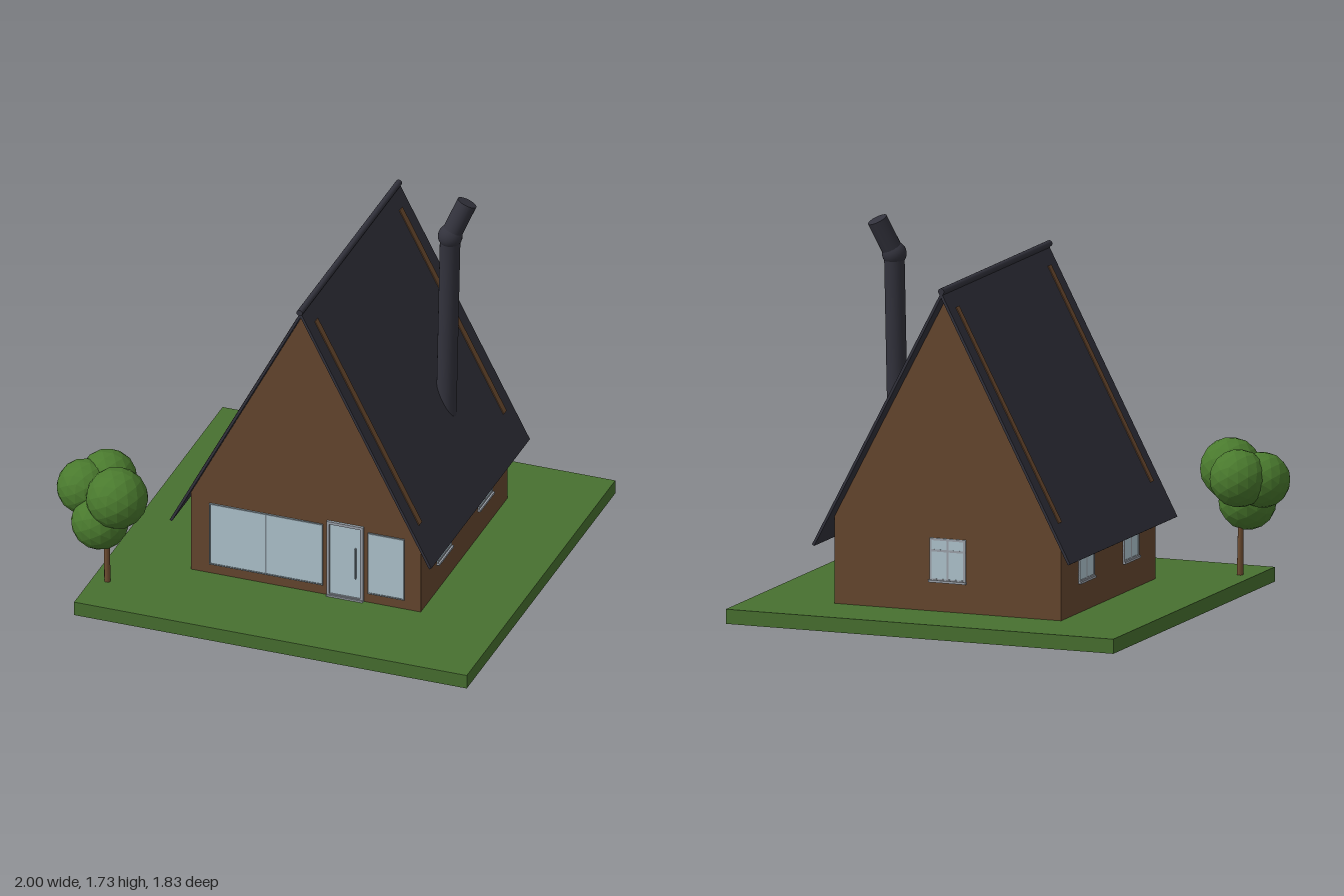
import * as THREE from 'three';

const mat = (name, color, extra = {}) => {
  const m = new THREE.MeshStandardMaterial({ color, ...extra });
  m.name = name;
  return m;
};

export function createModel() {
  const grass = mat('grass', 0x487030);
  const leaves = mat('leaves', 0x4a7a2e, { flatShading: true });
  const wall = mat('wall timber', 0x66472f);
  const trim = mat('trim timber', 0x6f4d31);
  const roofMat = mat('roof slate', 0x32323c);
  const glass = mat('glass', 0xb0c6d0);
  const frame = mat('pale frame', 0x9da3ab);
  const darkFrame = mat('grey frame', 0x7c8991);

  const model = new THREE.Group();
  model.name = 'cabin';
  const add = (parent, name, geo, material, x = 0, y = 0, z = 0) => {
    const m = new THREE.Mesh(geo, material);
    m.name = name;
    m.position.set(x, y, z);
    parent.add(m);
    return m;
  };
  // box given by its x, y and z ranges
  const box = (parent, name, material, x0, x1, y0, y1, z0, z1) =>
    add(parent, name, new THREE.BoxGeometry(x1 - x0, y1 - y0, z1 - z0), material,
      (x0 + x1) / 2, (y0 + y1) / 2, (z0 + z1) / 2);
  // xy outline extruded from z0 to z1
  const prism = (parent, name, material, pts, z0, z1) => {
    const shape = new THREE.Shape(pts.map(([x, y]) => new THREE.Vector2(x, y)));
    const geo = new THREE.ExtrudeGeometry(shape, { depth: z1 - z0, bevelEnabled: false });
    return add(parent, name, geo, material, 0, 0, z0);
  };
  // round pipe between two points
  const pipe = (parent, name, material, a, b, ra, rb = ra, sides = 24) => {
    const d = b.clone().sub(a);
    const m = add(parent, name, new THREE.CylinderGeometry(rb, ra, d.length(), sides), material);
    m.position.copy(a).add(b).multiplyScalar(0.5);
    m.quaternion.setFromUnitVectors(new THREE.Vector3(0, 1, 0), d.normalize());
    return m;
  };
  const V = (x, y, z) => new THREE.Vector3(x, y, z);

  // ground slab
  box(model, 'ground', grass, -0.83, 1, 0, 0.065, -0.917, 0.917);

  // gabled house body
  const cx = 0.08;
  prism(model, 'houseBody', wall, [
    [cx - 0.535, 0.06], [cx + 0.535, 0.06], [cx + 0.535, 0.455], [cx, 1.472], [cx - 0.535, 0.455],
  ], -0.608, 0.465);

  // roof slopes with timber strips
  const run = 0.61, drop = 1.163, len = Math.hypot(run, drop), apexY = 1.497;
  const onSlope = (s, t, lift) => [
    cx + s * (run * t + (drop / len) * lift), apexY - drop * t + (run / len) * lift,
  ];
  const slab = (name, material, s, t0, t1, lo, hi, z0, z1) => prism(model, name, material,
    [onSlope(s, t0, lo), onSlope(s, t1, lo), onSlope(s, t1, hi), onSlope(s, t0, hi)], z0, z1);
  for (const s of [-1, 1]) {
    const side = s > 0 ? 'Left' : 'Right';
    slab('roof' + side, roofMat, s, 0, 1, -0.012, 0, -0.685, 0.533);
    for (const z of [-0.598, 0.447])
      slab('roofStrip' + side, trim, s, 0.065, 0.86, -0.001, 0.004, z - 0.017, z + 0.017);
  }
  pipe(model, 'ridgeCap', roofMat, V(cx, 1.5, -0.685), V(cx, 1.5, 0.545), 0.014);

  // bent chimney pipe
  const elbow = V(0.492, 1.56, -0.225);
  pipe(model, 'chimneyPipe', roofMat, V(0.472, 0.6, -0.225), elbow, 0.045);
  add(model, 'chimneyElbow', new THREE.SphereGeometry(0.054, 24, 16), roofMat, ...elbow.toArray());
  pipe(model, 'chimneyTop', roofMat, elbow, V(0.553, 1.714, -0.272), 0.045);

  // glazed panel facing local +z, with its border and inner bars
  const panel = (name, w, h, border, material, depth, vBars = [], hBars = []) => {
    const g = new THREE.Group();
    g.name = name;
    box(g, 'glass', glass, -w / 2, w / 2, 0, h, -0.004, 0.004);
    for (const s of [-1, 1]) {
      const x = s * (w / 2 - border / 2);
      box(g, 'frameSide', material, x - border / 2, x + border / 2, 0, h, -0.004, depth);
    }
    box(g, 'frameBottom', material, -w / 2, w / 2, 0, border, -0.004, depth);
    box(g, 'frameTop', material, -w / 2, w / 2, h - border, h, -0.004, depth);
    for (const x of vBars)
      box(g, 'verticalBar', material, x - border / 2, x + border / 2, 0, h, -0.004, depth - 0.001);
    for (const y of hBars)
      box(g, 'crossBar', material, -w / 2, w / 2, y - border / 2, y + border / 2, -0.004, depth - 0.001);
    model.add(g);
    return g;
  };

  // front glazing and door
  const frontZ = 0.465;
  panel('largeFrontWindow', 0.53, 0.305, 0.006, darkFrame, 0.007, [0])
    .position.set(-0.105, 0.11, frontZ);
  panel('smallFrontWindow', 0.17, 0.305, 0.006, darkFrame, 0.007)
    .position.set(0.455, 0.11, frontZ);
  const door = panel('frontDoor', 0.17, 0.373, 0.013, frame, 0.012);
  door.position.set(0.265, 0.066, frontZ);
  box(door, 'doorHandle', darkFrame, 0.046, 0.052, 0.11, 0.26, 0.004, 0.014);
  box(door, 'doorStep', frame, -0.085, 0.085, 0, 0.008, 0, 0.018);

  // small paned windows with sills on the sides and the back
  const panedWindow = (name, x, z, turn) => {
    const g = panel(name, 0.17, 0.19, 0.01, frame, 0.006, [0], [0.135]);
    box(g, 'sill', frame, -0.088, 0.088, -0.006, 0.004, 0, 0.014);
    g.position.set(x, 0.2, z);
    g.rotation.y = turn;
  };
  for (const z of [0.18, -0.325]) {
    panedWindow('leftWindow', cx + 0.535, z, Math.PI / 2);
    panedWindow('rightWindow', cx - 0.535, z, -Math.PI / 2);
  }
  panedWindow('backWindow', cx, -0.608, Math.PI);

  // tree: trunk and faceted leaf clusters
  const tree = new THREE.Group();
  tree.name = 'tree';
  model.add(tree);
  pipe(tree, 'trunk', trim, V(-0.76, 0.06, 0.69), V(-0.765, 0.4, 0.69), 0.014, 0.011, 10);
  const clusters = [
    [-0.695, 0.523, 0.745, 0.137], [-0.878, 0.5, 0.66, 0.123],
    [-0.777, 0.387, 0.735, 0.128], [-0.8, 0.515, 0.578, 0.128],
  ];
  for (const [x, y, z, r] of clusters)
    add(tree, 'leafCluster', new THREE.IcosahedronGeometry(r, 2), leaves, x, y, z);

  return model;
}
